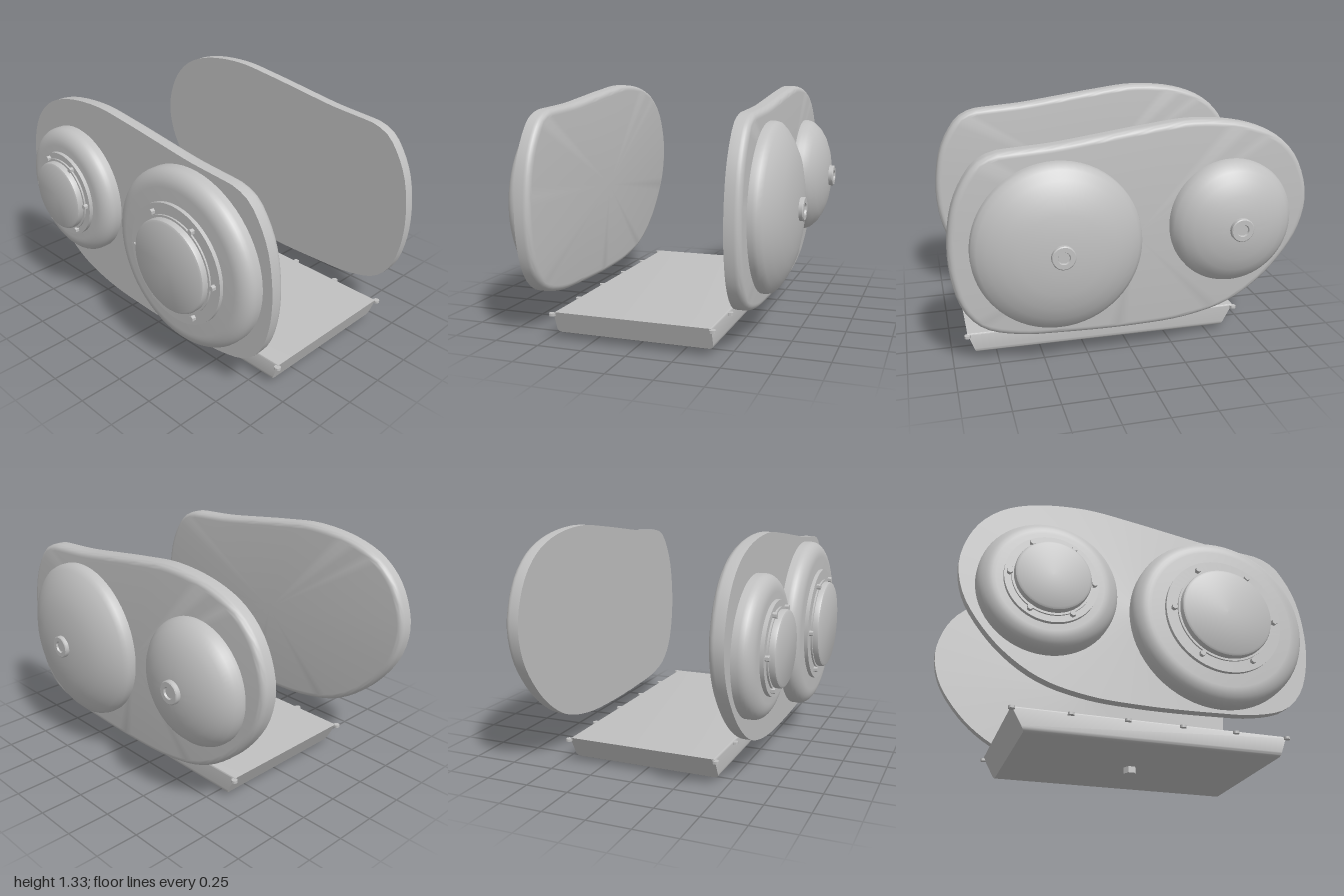
import * as THREE from 'three';
import { toCreasedNormals } from 'three/addons/utils/BufferGeometryUtils.js';

const metal = new THREE.MeshStandardMaterial({ color: 0xc0c0c0 });
metal.name = 'grey metal';

function part(name, geometry, x = 0, y = 0, z = 0) {
  const mesh = new THREE.Mesh(geometry, metal);
  mesh.name = name;
  mesh.position.set(x, y, z);
  return mesh;
}

// Turned part about the z axis; profile is [radius, distance outward]
function turned(profile, facing, segments = 64) {
  const lathe = new THREE.LatheGeometry(profile.map(p => new THREE.Vector2(p[0], p[1])), segments);
  return toCreasedNormals(lathe.rotateX(facing * Math.PI / 2), 0.6);
}

// Egg-shaped plate, square at the front rim and rounded at the rear rim
function plateGeometry(depth) {
  const outline = [
    [-1, 0.85], [-0.97, 0.69], [-0.9, 0.56], [-0.75, 0.39], [-0.55, 0.26], [-0.3, 0.195],
    [0, 0.176], [0.4, 0.182], [0.65, 0.2], [0.83, 0.255], [0.93, 0.36], [0.985, 0.52],
    [1, 0.72], [0.965, 0.95], [0.9, 1.09], [0.83, 1.175], [0.74, 1.215], [0.62, 1.227],
    [0.43, 1.242], [0.2, 1.273], [-0.05, 1.307], [-0.32, 1.333], [-0.6, 1.303],
    [-0.78, 1.235], [-0.9, 1.13], [-0.97, 1],
  ].map(p => new THREE.Vector3(p[0], p[1], 0));
  const curve = new THREE.CatmullRomCurve3(outline, true, 'centripetal');
  const n = 96;
  const rings = [[0, depth]];
  for (let k = 0; k <= 6; k++) {
    const a = k / 6 * Math.PI / 2;
    rings.push([0.035 * (1 - Math.cos(a)), 0.035 * (1 - Math.sin(a))]);
  }
  const pos = [], index = [];
  for (const [inset, z] of rings) {
    for (let i = 0; i < n; i++) {
      const p = curve.getPointAt(i / n), t = curve.getTangentAt(i / n);
      pos.push(p.x - t.y * inset, p.y + t.x * inset, z);
    }
  }
  const front = rings.length * n, back = front + 1, last = (rings.length - 1) * n;
  pos.push(0, 0.72, depth, 0, 0.72, 0);
  for (let i = 0; i < n; i++) {
    const k = (i + 1) % n;
    for (let j = 0; j < rings.length - 1; j++) {
      const a = j * n + i, b = j * n + k;
      index.push(a, a + n, b, b, a + n, b + n);
    }
    index.push(front, i, k, back, last + k, last + i);
  }
  const g = new THREE.BufferGeometry();
  g.setAttribute('position', new THREE.Float32BufferAttribute(pos, 3));
  g.setIndex(index);
  return toCreasedNormals(g, 0.6);
}

// Front cover: rounded drum, stepped ring, centre disc and six bolts
function frontCover(name, x, y, R, ring, disc, boltRadius) {
  const group = new THREE.Group();
  group.name = name;
  group.position.set(x, y, 0.61);
  const drum = [[R, 0], [R, 0.04]];
  for (let k = 1; k <= 8; k++) {
    const a = k / 8 * Math.PI / 2;
    drum.push([R - 0.09 * (1 - Math.cos(a)), 0.04 + 0.07 * Math.sin(a)]);
  }
  drum.push([0, 0.11]);
  group.add(part('coverDrum', turned(drum, 1)));
  group.add(part('coverRing', turned([[ring, 0.1], [ring, 0.132], [disc + 0.012, 0.132],
    [disc + 0.012, 0.142], [0, 0.142]], 1)));
  group.add(part('coverDisc', turned([[disc, 0.13], [disc, 0.165], [disc - 0.004, 0.174],
    [disc - 0.015, 0.18], [0, 0.18]], 1)));
  for (let i = 0; i < 6; i++) {
    const a = i * Math.PI / 3;
    const bolt = new THREE.CylinderGeometry(0.016, 0.016, 0.03, 6).rotateX(Math.PI / 2);
    group.add(part('coverBolt', toCreasedNormals(bolt, 0.6),
      boltRadius * Math.cos(a), boltRadius * Math.sin(a), 0.14));
  }
  return group;
}

// Rear cover: shallow dome with a recessed centre boss
function rearCover(name, x, y, profile) {
  const group = new THREE.Group();
  group.name = name;
  group.position.set(x, y, -0.59);
  group.add(part('dome', turned(profile, -1)));
  group.add(part('domeBoss', turned([[0.064, 0.165], [0.064, 0.197], [0.059, 0.202],
    [0.034, 0.202], [0.03, 0.192], [0, 0.192]], -1, 32)));
  return group;
}

// Pan: rounded section swept along x, with sloping ends and a slightly tilted floor
function panGeometry() {
  const w = 0.437, top = 0.162, bottom = 0.032, r = 0.028, c = 0.01;
  const s = new THREE.Shape();
  s.moveTo(-w + r, bottom);
  s.lineTo(w - r, bottom);
  s.quadraticCurveTo(w, bottom, w, bottom + r);
  s.lineTo(w, top - c);
  s.quadraticCurveTo(w, top, w - c, top);
  s.lineTo(-w + c, top);
  s.quadraticCurveTo(-w, top, -w, top - c);
  s.lineTo(-w, bottom + r);
  s.quadraticCurveTo(-w, bottom, -w + r, bottom);
  const g = new THREE.ExtrudeGeometry(s, { depth: 1, bevelEnabled: false, curveSegments: 6 });
  g.rotateY(Math.PI / 2);
  const p = g.attributes.position;
  for (let i = 0; i < p.count; i++) {
    const end = p.getX(i) > 0.5, y = p.getY(i);
    const drop = (top - y) / (top - bottom);
    p.setX(i, end ? 0.915 - 0.045 * drop : -0.655 + 0.07 * drop);
    if (end) p.setY(i, y + 0.01 * drop);
  }
  return toCreasedNormals(g, 0.6);
}

export function createModel() {
  const model = new THREE.Group();
  model.name = 'engineCovers';

  const plate = plateGeometry(0.085);
  model.add(part('frontPlate', plate, 0, 0, 0.53));
  model.add(part('rearPlate', plate, 0, 0, -0.595));

  model.add(frontCover('smallFrontCover', -0.53, 0.767, 0.379, 0.251, 0.203, 0.223));
  model.add(frontCover('largeFrontCover', 0.435, 0.707, 0.503, 0.337, 0.262, 0.295));

  model.add(rearCover('largeRearCover', 0.432, 0.705, [[0.46, 0], [0.46, 0.03], [0.455, 0.05],
    [0.43, 0.075], [0.38, 0.107], [0.31, 0.14], [0.22, 0.163], [0.12, 0.176], [0, 0.18]]));
  model.add(rearCover('smallRearCover', -0.535, 0.767, [[0.347, 0], [0.347, 0.03], [0.335, 0.06],
    [0.3, 0.098], [0.25, 0.13], [0.18, 0.156], [0.1, 0.173], [0, 0.178]]));

  // Pan with rim bolts along both long edges and a hexagonal drain plug
  model.add(part('pan', panGeometry(), 0, 0, 0.01));
  for (const z of [-0.434, 0.454]) {
    for (let i = 0; i < 6; i++) {
      const bolt = toCreasedNormals(new THREE.CylinderGeometry(0.018, 0.018, 0.015, 12), 0.6);
      model.add(part('panBolt', bolt, -0.655 + i * 0.314, 0.15, z));
    }
  }
  const plug = toCreasedNormals(new THREE.CylinderGeometry(0.038, 0.038, 0.05, 6), 0.6);
  plug.rotateY(Math.PI / 6);
  model.add(part('drainPlug', plug, 0.13, 0.025, 0.013));
  return model;
}
